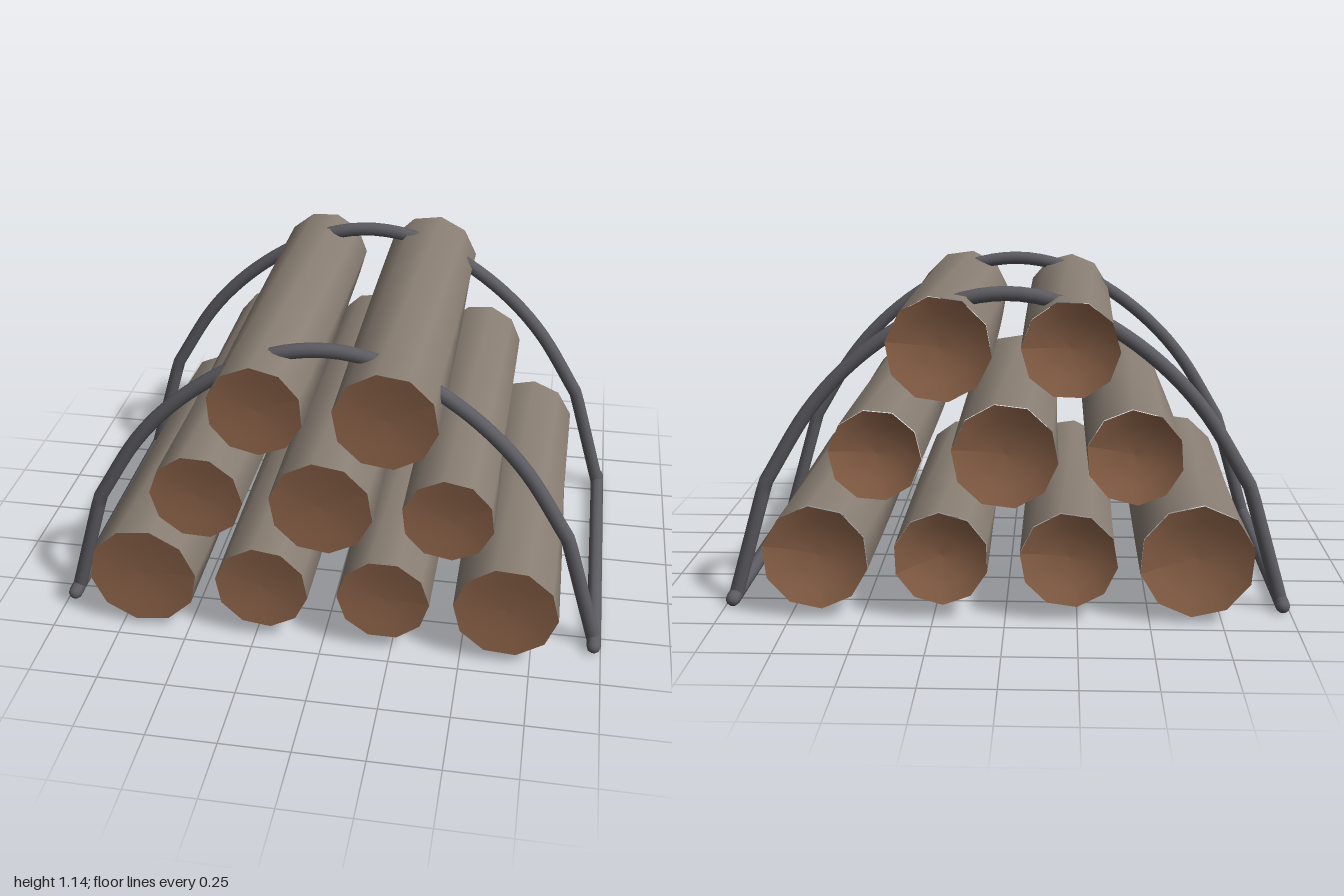
import * as THREE from 'three';

const SIDES = 10;
const bark = new THREE.MeshStandardMaterial({ color: 0x8a7f74 });
const cutWood = new THREE.MeshStandardMaterial({ color: 0x8b6248 });
const metal = new THREE.MeshStandardMaterial({ color: 0x5c5c62 });

function part(name, geometry, material) {
  const mesh = new THREE.Mesh(geometry, material);
  mesh.name = name;
  return mesh;
}

// Slightly dished end face, looking along +z
function cutFace(radius, phase, depth) {
  const g = new THREE.RingGeometry(0, radius, SIDES, 3, phase);
  const p = g.attributes.position;
  for (let i = 0; i < p.count; i++) {
    const t = Math.hypot(p.getX(i), p.getY(i)) / radius;
    p.setZ(i, -depth * (1 - t * t));
  }
  g.computeVertexNormals();
  return g;
}

// Ten-sided log with a gentle twist from front to back
function createLog(x, y, radius, phaseDeg) {
  const phase = THREE.MathUtils.degToRad(phaseDeg);
  const twist = THREE.MathUtils.degToRad(-20);
  const zFront = 0.69, zBack = -0.677, length = zFront - zBack;
  const log = new THREE.Group();
  log.name = 'log';
  log.position.set(x, y, 0);

  const g = new THREE.CylinderGeometry(radius, radius, length, SIDES, 6, true);
  g.rotateX(Math.PI / 2).rotateZ(phase + Math.PI / 2);
  const p = g.attributes.position, n = g.attributes.normal;
  const v = new THREE.Vector3(), axis = new THREE.Vector3(0, 0, 1);
  for (let i = 0; i < p.count; i++) {
    const a = twist * (0.5 - p.getZ(i) / length);
    v.fromBufferAttribute(p, i).applyAxisAngle(axis, a);
    p.setXYZ(i, v.x, v.y, v.z);
    v.fromBufferAttribute(n, i).applyAxisAngle(axis, a);
    n.setXYZ(i, v.x, v.y, v.z);
  }
  g.translate(0, 0, (zFront + zBack) / 2);
  log.add(part('bark', g, bark));

  const front = part('frontCut', cutFace(radius, phase, 0.015), cutWood);
  front.position.z = zFront;
  const back = part('backCut', cutFace(radius, Math.PI - phase - twist, 0.04), cutWood);
  back.rotation.y = Math.PI;
  back.position.z = -0.688;
  log.add(front, back);
  return log;
}

// Arched hoop: straight legs below, curved bow above
function createHoop(z) {
  const P = (x, y) => new THREE.Vector3(x, y, 0);
  const half = [[0.85, 0.45], [0.69, 0.71], [0.55, 0.865], [0.38, 0.995], [0.19, 1.09]];
  const bow = [...half.map(([x, y]) => P(-x, y)), P(0, 1.122),
    ...half.slice().reverse().map(([x, y]) => P(x, y))];
  const curve = new THREE.CurvePath();
  curve.add(new THREE.LineCurve3(P(-0.972, 0.03), bow[0]));
  curve.add(new THREE.CatmullRomCurve3(bow));
  curve.add(new THREE.LineCurve3(bow[bow.length - 1], P(0.972, 0.03)));
  const hoop = part('hoop', new THREE.TubeGeometry(curve, 64, 0.026, 10, false), metal);
  hoop.position.z = z;
  return hoop;
}

export function createModel() {
  const model = new THREE.Group();
  model.name = 'logRack';

  // Stacked logs: x, y, radius, rotation in degrees
  const logs = [
    [-0.66, 0.225, 0.2, 7], [-0.22, 0.225, 0.17, 28], [0.22, 0.225, 0.166, 0], [0.655, 0.225, 0.186, 32],
    [-0.44, 0.59, 0.166, 34], [0, 0.59, 0.183, 27], [0.44, 0.59, 0.16, 25],
    [-0.22, 0.955, 0.166, 22], [0.22, 0.955, 0.18, 28],
  ];
  for (const l of logs) model.add(createLog(...l));

  // Metal frame
  for (const s of [-1, 1]) {
    model.add(createHoop(s * 0.53));
    const rail = part('rail', new THREE.CapsuleGeometry(0.026, 1.15, 4, 10), metal);
    rail.rotation.x = Math.PI / 2;
    rail.position.set(s * 0.974, 0.028, 0);
    model.add(rail);
  }
  return model;
}
